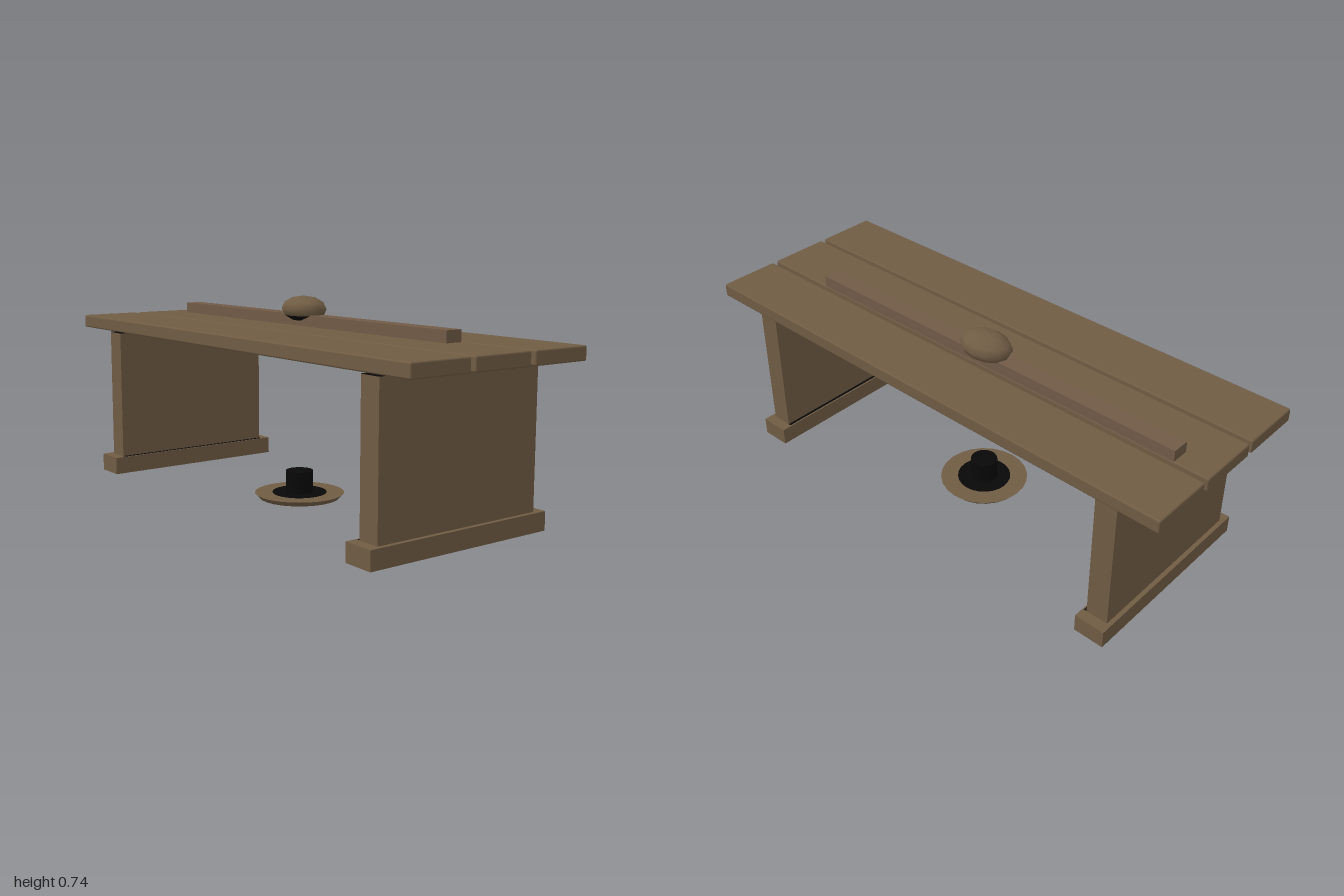
import * as THREE from 'three';
import { RoundedBoxGeometry } from 'three/addons/geometries/RoundedBoxGeometry.js';

export function createModel() {
  const wood = new THREE.MeshStandardMaterial({ color: 0x705c44 });
  wood.name = 'brown wood';
  const redWood = new THREE.MeshStandardMaterial({ color: 0x715a47 });
  redWood.name = 'reddish wood';
  const black = new THREE.MeshStandardMaterial({ color: 0x080808 });
  black.name = 'black';

  const model = new THREE.Group();
  model.name = 'plankTable';

  function add(parent, name, geometry, material, x, y, z) {
    const mesh = new THREE.Mesh(geometry, material);
    mesh.name = name;
    mesh.position.set(x, y, z);
    parent.add(mesh);
    return mesh;
  }
  // Box given by its lower and upper limits
  function box(parent, name, material, x0, x1, y0, y1, z0, z1) {
    return add(parent, name, new THREE.BoxGeometry(x1 - x0, y1 - y0, z1 - z0), material,
      (x0 + x1) / 2, (y0 + y1) / 2, (z0 + z1) / 2);
  }

  // Three table planks with softened edges
  for (const z of [-0.249, 0.001, 0.25]) {
    add(model, 'plank', new RoundedBoxGeometry(2, 0.049, 0.232, 2, 0.006), wood, 0, 0.6015, z);
  }

  // Panel legs on wider feet, mirrored
  for (const side of [-1, 1]) {
    const leg = new THREE.Group();
    leg.name = side > 0 ? 'leftLeg' : 'rightLeg';
    leg.position.x = side * 0.792;
    model.add(leg);
    box(leg, 'legPanel', wood, -0.041, 0.041, 0.067, 0.566, -0.333, 0.333);
    box(leg, 'legTop', black, -0.041, 0.041, 0.566, 0.567, -0.333, 0.333);
    box(leg, 'foot', wood, -0.057, 0.057, 0.001, 0.067, -0.373, 0.373);
    box(leg, 'footUnderside', black, -0.038, 0.038, 0, 0.001, -0.335, 0.335);
    // Dark seam on the inner side of the foot
    const seam = box(leg, 'footSeam', black, 0.041, 0.051, 0.067, 0.068, -0.333, 0.333);
    seam.position.x *= -side;
  }

  // Long bar lying on the middle plank
  box(model, 'bar', redWood, -0.875, 0.705, 0.626, 0.667, -0.115, -0.05);

  // Oval knob with a dark underside
  const knob = new THREE.Group();
  knob.name = 'knob';
  knob.position.set(-0.085, 0.687, -0.083);
  knob.scale.set(0.103, 0.048, 0.074);
  model.add(knob);
  const split = Math.PI * 2 / 3;
  add(knob, 'knobTop', new THREE.SphereGeometry(1, 12, 4, 0, Math.PI * 2, 0, split), wood, 0, 0, 0);
  add(knob, 'knobUnderside', new THREE.SphereGeometry(1, 12, 2, 0, Math.PI * 2, split, Math.PI - split), black, 0, 0, 0);

  // Round floor dish with a dark centre and a short post
  add(model, 'dish', new THREE.CylinderGeometry(0.165, 0.148, 0.018, 24), wood, 0, 0.01, 0);
  add(model, 'dishCentre', new THREE.CylinderGeometry(0.1, 0.1, 0.002, 24), black, 0, 0.02, 0);
  add(model, 'dishUnderside', new THREE.CylinderGeometry(0.04, 0.04, 0.002, 16), black, 0, 0.001, 0);
  add(model, 'post', new THREE.CylinderGeometry(0.05, 0.05, 0.081, 24), black, 0, 0.0605, 0);

  return model;
}
